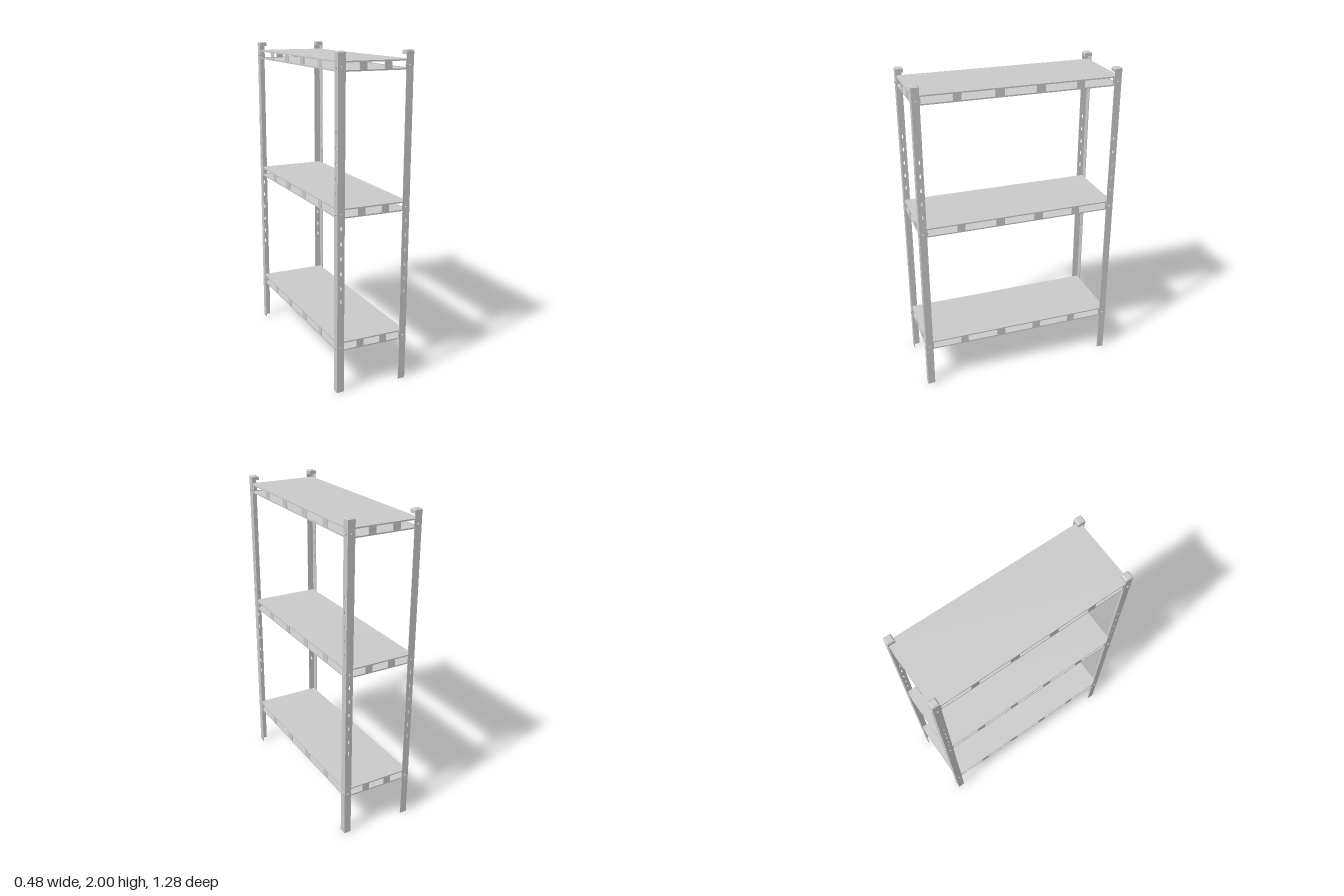
import * as THREE from 'three';

const mat = new THREE.MeshStandardMaterial({ color: 0xcccccc, flatShading: true });
const X = 0.232, Z = 0.634;      // outer faces of the posts
const W = 0.045, T = 0.004;      // post flange width and sheet thickness
const SX = 0.226, SZ = 0.627;    // half sizes of a shelf
const SHELF_H = 0.057;
const SHELVES = [0.265, 1.077, 1.89];  // underside heights

function add(parent, name, geometry, x = 0, y = 0, z = 0, ry = 0) {
  const m = new THREE.Mesh(geometry, mat);
  m.name = name;
  m.position.set(x, y, z);
  m.rotation.y = ry;
  parent.add(m);
  return m;
}

// Upright sheet, centred on x and z, standing on y = 0, with cut-outs
function sheet(width, height, holes) {
  const s = new THREE.Shape();
  s.moveTo(-width / 2, 0);
  s.lineTo(width / 2, 0);
  s.lineTo(width / 2, height);
  s.lineTo(-width / 2, height);
  s.closePath();
  s.holes.push(...holes);
  const g = new THREE.ExtrudeGeometry(s, { depth: T, bevelEnabled: false, curveSegments: 5 });
  return g.translate(0, 0, -T / 2);
}

function slot(y) {
  const p = new THREE.Path();
  p.absellipse(0, y, 0.005, 0.014, 0, Math.PI * 2, true);
  return p;
}

function rectHole(x0, x1, y0, y1) {
  const p = new THREE.Path();
  p.moveTo(x0, y0);
  p.lineTo(x0, y1);
  p.lineTo(x1, y1);
  p.lineTo(x1, y0);
  p.closePath();
  return p;
}

// Side wall of a shelf; windows are given by pairs of start and end
function railGeometry(width, windows) {
  const holes = windows.map(([a, b]) => rectHole(a, b, 0.008, SHELF_H - 0.008));
  return sheet(width, SHELF_H, holes);
}

export function createModel() {
  const group = new THREE.Group();
  group.name = 'shelvingUnit';

  // Angle posts with adjustment slots, caps and bolts
  const endFlange = sheet(W, 1.98, [0.58, 0.66, 0.75, 0.84, 0.93, 1.02].map(slot));
  const sideFlange = sheet(W - T, 1.98, [1.215, 1.3, 1.385, 1.475, 1.56].map(slot));
  const capBase = new THREE.BoxGeometry(W + 0.002, 0.02, W + 0.002);
  const r = Math.SQRT1_2;
  const capTop = new THREE.CylinderGeometry((W - 0.012) * r, (W + 0.002) * r, 0.007, 4).rotateY(Math.PI / 4);
  const boltX = new THREE.CylinderGeometry(0.005, 0.007, 0.007, 8).rotateZ(-Math.PI / 2);
  const boltZ = new THREE.CylinderGeometry(0.005, 0.007, 0.007, 8).rotateX(Math.PI / 2);

  for (const sx of [-1, 1]) for (const sz of [-1, 1]) {
    const post = new THREE.Group();
    post.name = `${sz > 0 ? 'front' : 'back'}${sx > 0 ? 'Left' : 'Right'}Post`;
    group.add(post);
    const cx = sx * (X - W / 2), cz = sz * (Z - W / 2);
    add(post, 'endFlange', endFlange, cx, 0, sz * (Z - T / 2));
    add(post, 'sideFlange', sideFlange, sx * (X - T / 2), 0, cz - sz * T / 2, Math.PI / 2);
    add(post, 'capBase', capBase, cx, 1.983, cz);
    add(post, 'capTop', capTop, cx, 1.9965, cz);
    for (const y of SHELVES) {
      add(post, 'sideBolt', boltX, sx * (X + 0.003), y + 0.024, cz, sx > 0 ? 0 : Math.PI);
      add(post, 'endBolt', boltZ, cx, y + 0.024, sz * (Z + 0.003), sz > 0 ? 0 : Math.PI);
    }
  }

  // Shelves: top and bottom plates joined by windowed rails
  const plate = new THREE.BoxGeometry(2 * SX, T, 2 * SZ);
  const endRail = railGeometry(2 * SX, [[-0.187, -0.1], [-0.053, 0.053], [0.1, 0.187]]);
  const sideRail = railGeometry(2 * (SZ - T),
    [[-0.583, -0.4], [-0.35, -0.153], [-0.097, 0.097], [0.153, 0.35], [0.4, 0.583]]);

  SHELVES.forEach((y, i) => {
    const shelf = new THREE.Group();
    shelf.name = ['lowerShelf', 'middleShelf', 'upperShelf'][i];
    shelf.position.y = y;
    group.add(shelf);
    add(shelf, 'bottomPlate', plate, 0, T / 2, 0);
    add(shelf, 'topPlate', plate, 0, SHELF_H - T / 2, 0);
    for (const s of [-1, 1]) {
      add(shelf, 'endRail', endRail, 0, 0, s * (SZ - T / 2));
      add(shelf, 'sideRail', sideRail, s * (SX - T / 2), 0, 0, Math.PI / 2);
    }
  });
  return group;
}
